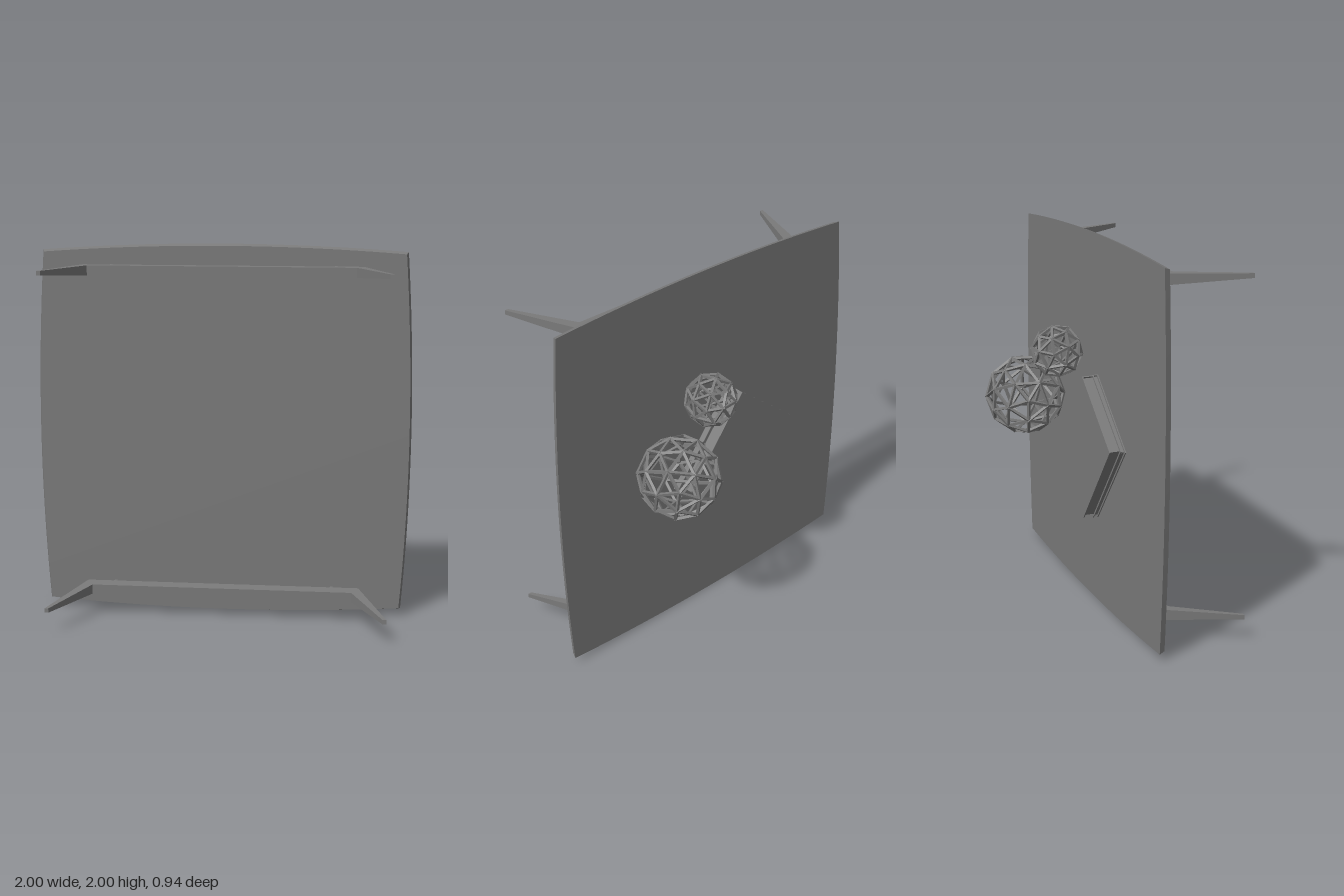
import * as THREE from 'three';
import { toCreasedNormals } from 'three/addons/utils/BufferGeometryUtils.js';

const material = new THREE.MeshStandardMaterial({ color: 0x7a7a7a });

function add(parent, name, geometry, x = 0, y = 0, z = 0) {
  const mesh = new THREE.Mesh(geometry, material);
  mesh.name = name;
  mesh.position.set(x, y, z);
  parent.add(mesh);
  return mesh;
}

// Square panel with four bowed edges, chamfered towards the leg side
function tabletopGeometry() {
  const c = 0.963, b = 1.037, depth = 0.03;
  const shape = new THREE.Shape();
  shape.moveTo(-c, -c);
  shape.quadraticCurveTo(0, -b, c, -c);
  shape.quadraticCurveTo(b, 0, c, c);
  shape.quadraticCurveTo(0, b, -c, c);
  shape.quadraticCurveTo(-b, 0, -c, -c);
  const geo = new THREE.ExtrudeGeometry(shape, { depth, bevelEnabled: false, curveSegments: 20 });
  const p = geo.attributes.position;
  for (let i = 0; i < p.count; i++) {
    if (p.getZ(i) > depth / 2) p.setXY(i, p.getX(i) * 0.99, p.getY(i) * 0.99);
  }
  return toCreasedNormals(geo, 0.4);
}

// One crossbar with two splayed, tapering legs, lofted through four sections.
// side is 1 for the upper frame and -1 for the lower one.
function legFrameGeometry(side) {
  const section = (xo, zo, innerO, xi, zi, innerI) => {
    const span = (inner) => [1.003 + side * 0.89, 1.003 + side * inner].sort((a, b) => b - a);
    const [hiO, loO] = span(innerO), [hiI, loI] = span(innerI);
    return [[xo, hiO, zo], [xo, loO, zo], [xi, loI, zi], [xi, hiI, zi]];
  };
  const sections = [
    section(-0.887, 0.469, 0.867, -0.867, 0.469, 0.867),
    section(-0.735, 0.058, 0.832, -0.7, 0.125, 0.838),
    section(0.735, 0.058, 0.832, 0.7, 0.125, 0.838),
    section(0.887, 0.469, 0.867, 0.867, 0.469, 0.867),
  ];
  const pos = [];
  const quad = (a, b, c, d) => pos.push(...a, ...b, ...c, ...a, ...c, ...d);
  for (let s = 0; s < 3; s++) {
    const p = sections[s], q = sections[s + 1];
    for (let k = 0; k < 4; k++) {
      const n = (k + 1) % 4;
      quad(p[k], q[k], q[n], p[n]);
    }
  }
  quad(...sections[0]);
  quad(...[...sections[3]].reverse());
  const geo = new THREE.BufferGeometry();
  geo.setAttribute('position', new THREE.Float32BufferAttribute(pos, 3));
  geo.computeVertexNormals();
  return geo;
}

// Distinct points of a geodesic: either a split icosahedron,
// or an icosahedron with a point raised over each face
function geodesicPoints(split) {
  const p = new THREE.IcosahedronGeometry(1, split ? 1 : 0).attributes.position;
  const points = [];
  const keep = (v) => {
    if (!points.some((q) => q.distanceTo(v) < 0.01)) points.push(v);
  };
  for (let i = 0; i < p.count; i += 3) {
    const tri = [0, 1, 2].map((k) => new THREE.Vector3().fromBufferAttribute(p, i + k));
    tri.forEach(keep);
    if (!split) keep(tri[0].clone().add(tri[1]).add(tri[2]).normalize());
  }
  return points;
}

// Openwork ball: a thin square rod between every pair of neighbouring points
function wireBall(name, radius, rod, split) {
  const ball = new THREE.Group();
  ball.name = name;
  const points = geodesicPoints(split);
  const up = new THREE.Vector3(0, 1, 0);
  points.forEach((a, i) => {
    for (const b of points.slice(i + 1)) {
      const length = a.distanceTo(b);
      if (length > 0.8) continue;
      const mesh = add(ball, 'rod', new THREE.BoxGeometry(rod, length * radius + rod / 2, rod));
      mesh.position.copy(a).add(b).multiplyScalar(radius / 2);
      mesh.quaternion.setFromUnitVectors(up, b.clone().sub(a).normalize());
    }
  });
  return ball;
}

// Closed book lying flat: two covers, a spine and inset pages
function book(name, width, height, thickness) {
  const group = new THREE.Group();
  group.name = name;
  const cover = 0.006, inset = 0.01, inner = thickness - 2 * cover;
  for (const s of [-1, 1]) {
    add(group, 'cover', new THREE.BoxGeometry(width, height, cover), 0, 0, s * (thickness - cover) / 2);
  }
  add(group, 'spine', new THREE.BoxGeometry(width, cover, inner), 0, (height - cover) / 2, 0);
  add(group, 'pages', new THREE.BoxGeometry(width - 2 * inset, height - inset - cover, inner),
    0, (inset - cover) / 2, 0);
  return group;
}

export function createModel() {
  const model = new THREE.Group();
  model.name = 'coffeeTable';

  add(model, 'tabletop', tabletopGeometry(), 0, 1, -0.034);

  // Leg frames and the round posts joining them to the top
  for (const side of [-1, 1]) {
    add(model, 'legFrame', legFrameGeometry(side));
    for (const x of [-0.592, 0.592]) {
      const geo = new THREE.CylinderGeometry(0.021, 0.021, 0.08, 16);
      add(model, 'post', geo, x, 1.003 + side * 0.867, 0.025).rotation.x = Math.PI / 2;
    }
  }

  // Stacked books
  const lower = book('lowerBook', 0.605, 0.5, 0.033);
  lower.position.set(-0.135, 0.873, -0.0505);
  lower.rotation.z = -0.89;
  const upper = book('upperBook', 0.594, 0.49, 0.066);
  upper.position.set(-0.163, 0.884, -0.1);
  upper.rotation.z = -0.902;

  // Ornamental balls
  const large = wireBall('largeWireBall', 0.213, 0.014, true);
  large.position.set(0.405, 1.047, -0.255);
  large.rotation.set(0.3, 0.3, 0);
  const small = wireBall('smallWireBall', 0.135, 0.013, false);
  small.position.set(0.112, 1.35, -0.174);
  small.rotation.set(0.15, 0.1, 0);

  model.add(lower, upper, large, small);
  return model;
}
